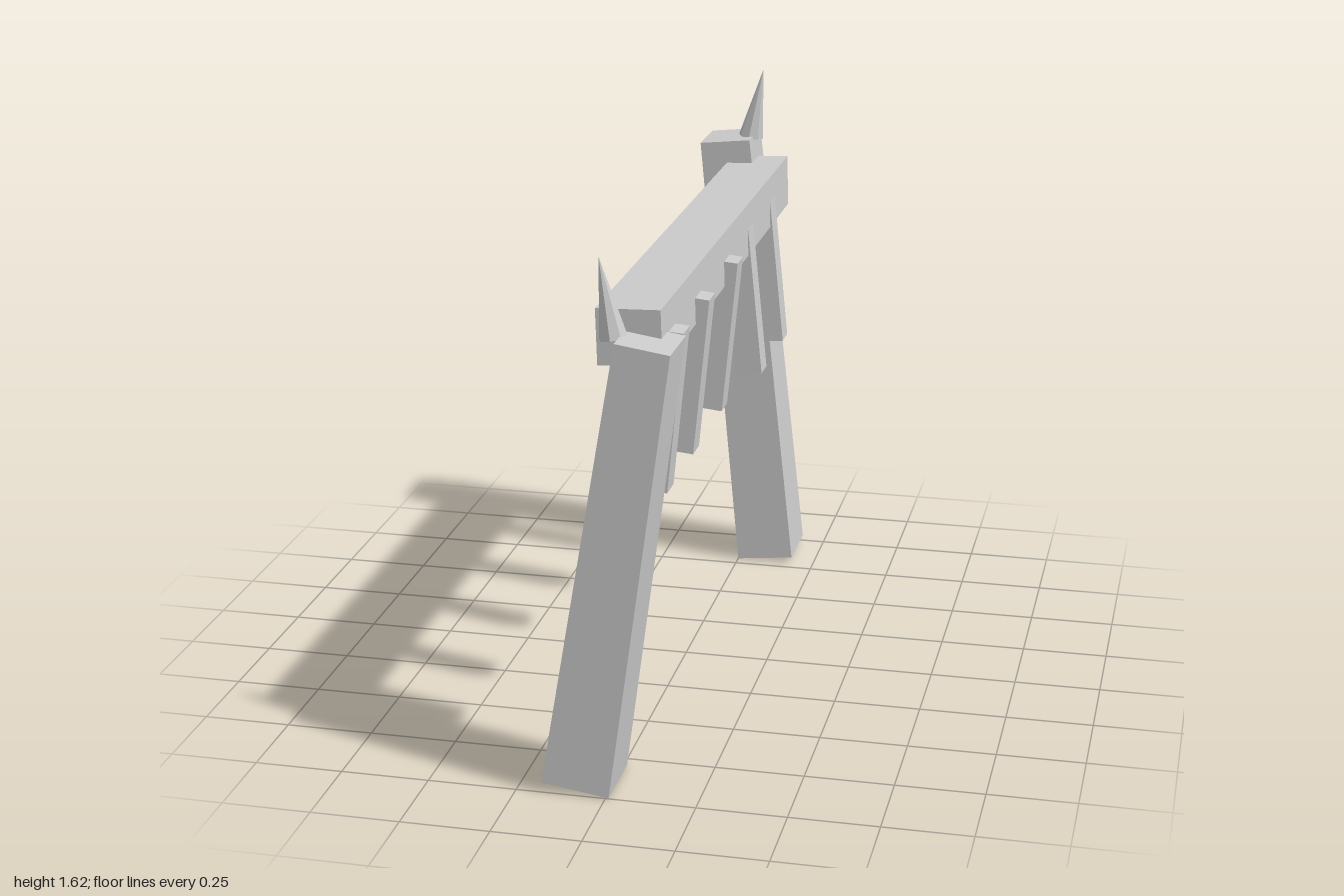
import * as THREE from 'three';

const material = new THREE.MeshStandardMaterial({ color: 0xcccccc, flatShading: true });

function addPart(parent, name, geometry, x, y, z, tilt) {
  const mesh = new THREE.Mesh(geometry, material);
  mesh.name = name;
  mesh.position.set(x, y, z);
  mesh.rotation.z = tilt;
  parent.add(mesh);
}

// Box standing on its origin, narrowing towards the top
function taperedPost(width, depth, height, topScaleX, topScaleZ) {
  const geometry = new THREE.BoxGeometry(width, height, depth).translate(0, height / 2, 0);
  const p = geometry.attributes.position;
  for (let i = 0; i < p.count; i++) {
    if (p.getY(i) > height / 2) {
      p.setX(i, p.getX(i) * topScaleX);
      p.setZ(i, p.getZ(i) * topScaleZ);
    }
  }
  geometry.computeVertexNormals();
  return geometry;
}

export function createModel() {
  const model = new THREE.Group();
  model.name = 'railing';

  // Two posts leaning in opposite directions
  addPart(model, 'frontPost', taperedPost(0.19, 0.21, 1.27, 0.79, 0.87), -0.085, 0.019, 0.895, -0.15);
  addPart(model, 'backPost', taperedPost(0.18, 0.21, 1.405, 0.88, 0.87), 0.09, 0.013, -0.895, 0.103);

  // Beam joining the posts
  addPart(model, 'beam', new THREE.BoxGeometry(0.175, 0.155, 1.78), 0.042, 1.268, -0.02, 0.03);

  // Hanging pickets: the front three lean out at the top, the back two at the bottom
  const picket = new THREE.BoxGeometry(0.08, 0.45, 0.077);
  [0.75, 0.43, 0.045, -0.3, -0.645].forEach((z, i) => {
    const front = i < 3;
    addPart(model, `picket${i + 1}`, picket, front ? 0.107 : 0.113, front ? 1.043 : 1.046, z, front ? -0.1 : 0.1);
  });

  // Crooked spikes on the post tops
  const spike = new THREE.ConeGeometry(0.039, 0.22, 8).translate(0, 0.11, 0);
  addPart(model, 'frontSpike', spike, 0.008, 1.274, 0.895, 0.175);
  addPart(model, 'backSpike', spike, 0.012, 1.412, -0.893, -0.175);

  return model;
}
